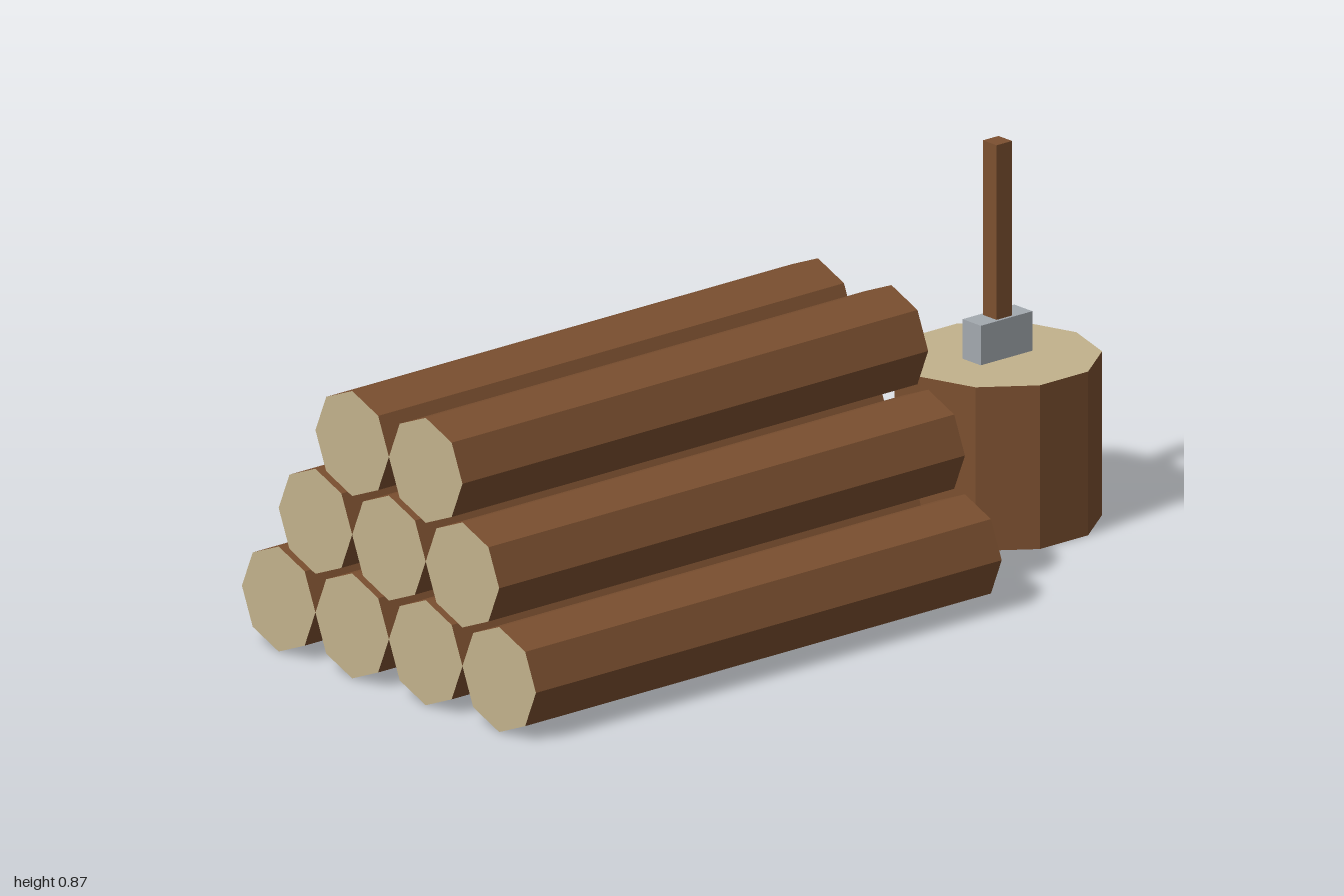
import * as THREE from 'three';

export function createModel() {
  const model = new THREE.Group();
  const material = (name, color, extra = {}) => {
    const m = new THREE.MeshStandardMaterial({ color, flatShading: true, ...extra });
    m.name = name;
    return m;
  };
  const bark = material('bark brown', 0x7c5030, { side: THREE.DoubleSide });
  const cutWood = material('cut wood tan', 0xc2b28c);
  const steel = material('steel grey', 0xa3a9af);

  const add = (name, geometry, mat, x, y, z, parent = model) => {
    const mesh = new THREE.Mesh(geometry, mat);
    mesh.name = name;
    mesh.position.set(x, y, z);
    parent.add(mesh);
    return mesh;
  };

  // Log pile: rows of four, three and two octagonal logs along x
  const r = 0.121, length = 1.355, rowStep = 0.21;
  const logGeometry = new THREE.CylinderGeometry(r, r, length, 8).rotateZ(Math.PI / 2);
  const pile = new THREE.Group();
  pile.name = 'logPile';
  model.add(pile);
  for (let row = 0; row < 3; row++) {
    const count = 4 - row;
    for (let i = 0; i < count; i++) {
      const z = (i - (count - 1) / 2) * 2 * r;
      add('log', logGeometry, [bark, cutWood, cutWood], -1 + length / 2, r + row * rowStep, z, pile);
    }
  }

  // Chopping block: ten-sided bark wall, open below, with a cut top
  const cx = 0.7725, blockR = 0.2275, blockH = 0.377;
  add('choppingBlockBark',
    new THREE.CylinderGeometry(blockR, blockR, blockH, 10, 1, true, Math.PI / 2), bark, cx, blockH / 2, 0);
  add('choppingBlockTop',
    new THREE.CircleGeometry(blockR, 10).rotateX(-Math.PI / 2), cutWood, cx, blockH, 0);

  // Axe standing on the block
  const axe = new THREE.Group();
  axe.name = 'axe';
  model.add(axe);
  const headTop = 0.468, handleTop = 0.87;
  add('axeHead', new THREE.BoxGeometry(0.15, headTop - blockH, 0.06), steel,
    cx - 0.002, (headTop + blockH) / 2, 0, axe);
  add('axeHandle', new THREE.BoxGeometry(0.045, handleTop - headTop, 0.045), bark,
    cx - 0.002, (handleTop + headTop) / 2, 0, axe);

  return model;
}
